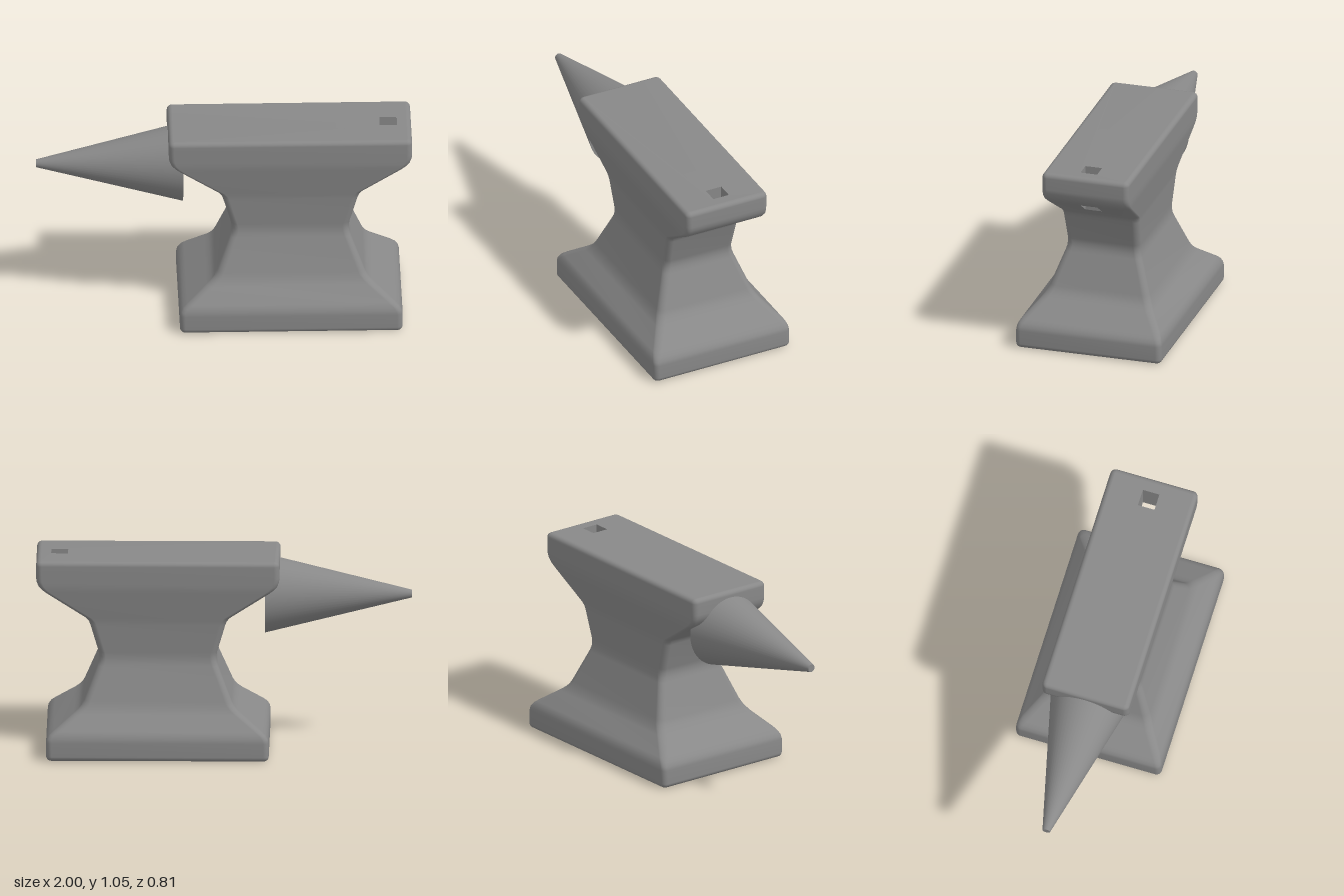
import * as THREE from 'three';
import { mergeGeometries, mergeVertices } from 'three/addons/utils/BufferGeometryUtils.js';

const CX = 0.35;               // centre line of the body
const TOP = 1.054;             // height of the working face
const HOLE = { x0: 0.83, x1: 0.92, z: 0.046 };

// Body sections: [height, half length, half width, corner radius]
const SECTIONS = [
  [0.025, 0.593, 0.405, 0.03], [0.1, 0.593, 0.405, 0.03], [0.12, 0.588, 0.402, 0.03],
  [0.14, 0.575, 0.394, 0.032], [0.158, 0.553, 0.382, 0.034], [0.235, 0.448, 0.312, 0.038],
  [0.255, 0.424, 0.298, 0.038], [0.275, 0.406, 0.287, 0.038], [0.3, 0.393, 0.276, 0.038],
  [0.475, 0.322, 0.213, 0.035], [0.5, 0.314, 0.206, 0.035], [0.525, 0.312, 0.203, 0.035],
  [0.55, 0.316, 0.203, 0.035], [0.7, 0.36, 0.211, 0.035], [0.72, 0.369, 0.213, 0.035],
  [0.739, 0.385, 0.216, 0.035], [0.876, 0.59, 0.237, 0.03], [0.897, 0.618, 0.24, 0.03],
  [0.918, 0.636, 0.242, 0.03], [0.943, 0.646, 0.242, 0.03], [0.965, 0.648, 0.242, 0.03],
  [1.029, 0.648, 0.242, 0.03],
];
const SLOPE = 15;              // the overhang band that the square hole passes through

// Round the bottom and top edges by insetting the end sections along an arc
function roundedSections() {
  const R = 0.025, steps = 5;
  const edge = ([, hx, hz, r], y, dir) => Array.from({ length: steps }, (_, i) => {
    const a = ((i + 1) / steps) * Math.PI / 2, inset = R * (1 - Math.cos(a));
    return [y + dir * R * Math.sin(a), hx - inset, hz - inset, r - inset];
  });
  const last = SECTIONS[SECTIONS.length - 1];
  return [...edge(SECTIONS[0], R, -1).reverse(), ...SECTIONS, ...edge(last, TOP - R, 1)];
}

// Rounded rectangle; the last point to the first spans the +x face
function ring([y, hx, hz, r]) {
  const points = [], steps = 5;
  for (let k = 0; k < 4; k++) {
    const sx = k === 0 || k === 3 ? 1 : -1, sz = k < 2 ? 1 : -1;
    for (let i = 0; i <= steps; i++) {
      const a = (k + i / steps) * Math.PI / 2;
      points.push([CX + sx * (hx - r) + r * Math.cos(a), y, sz * (hz - r) + r * Math.sin(a)]);
    }
  }
  return points;
}

// Flat end cap, facing up or down
function cap(points, up, hole) {
  const s = up ? -1 : 1;
  const flat = (list) => list.map(([x, , z]) => new THREE.Vector2(x, s * z));
  const shape = new THREE.Shape(flat(points));
  if (hole) shape.holes.push(new THREE.Path(flat(hole)));
  const g = new THREE.ShapeGeometry(shape).rotateX(s * Math.PI / 2);
  g.translate(0, points[0][1], 0);
  g.deleteAttribute('uv');
  g.deleteAttribute('normal');
  return g.toNonIndexed();
}

function fromSoup(soup) {
  const g = new THREE.BufferGeometry();
  g.setAttribute('position', new THREE.Float32BufferAttribute(soup, 3));
  return g;
}

function bodyGeometry() {
  const rings = roundedSections().map(ring);
  const n = rings[0].length, slopeBand = SLOPE + 5, skin = [], walls = [];
  const quad = (soup, a, b, c, d) => soup.push(...a, ...b, ...c, ...a, ...c, ...d);
  const { x0, x1, z } = HOLE;
  const corners = [[x0, -z], [x1, -z], [x1, z], [x0, z]];
  const holeTop = corners.map(([x, cz]) => [x, TOP, cz]);

  for (let i = 0; i < rings.length - 1; i++) {
    for (let j = 0; j < n; j++) {
      const k = (j + 1) % n;
      const outer = [rings[i][j], rings[i + 1][j], rings[i + 1][k], rings[i][k]];
      if (i !== slopeBand || k !== 0) { quad(skin, ...outer); continue; }
      // Overhang face with the square hole, and the walls of the hole
      const [lo, hi] = outer;
      const inner = corners.map(([x, cz]) =>
        [x, lo[1] + (hi[1] - lo[1]) * (x - lo[0]) / (hi[0] - lo[0]), cz]);
      for (let e = 0; e < 4; e++) {
        const f = (e + 1) % 4;
        quad(skin, outer[e], outer[f], inner[f], inner[e]);
        quad(walls, inner[e], inner[f], holeTop[f], holeTop[e]);
      }
    }
  }
  // Welded skin: the large faces dominate the normals, so they shade flat between soft bevels
  const smooth = mergeVertices(mergeGeometries([
    fromSoup(skin), cap(rings[0], false), cap(rings[rings.length - 1], true, holeTop),
  ]));
  smooth.computeVertexNormals();
  const sharp = fromSoup(walls);
  sharp.computeVertexNormals();
  return mergeGeometries([smooth.toNonIndexed(), sharp]);
}

export function createModel() {
  const group = new THREE.Group();
  group.name = 'anvil';
  const material = new THREE.MeshStandardMaterial({ color: 0x888888 });

  const body = new THREE.Mesh(bodyGeometry(), material);
  body.name = 'body';
  group.add(body);

  // Tapered horn, its wide end set into the body
  const horn = new THREE.Mesh(new THREE.CylinderGeometry(0.021, 0.21, 0.78, 48), material);
  horn.name = 'horn';
  horn.rotation.z = Math.PI / 2;
  horn.position.set(-0.61, 0.827, 0);
  group.add(horn);

  return group;
}
